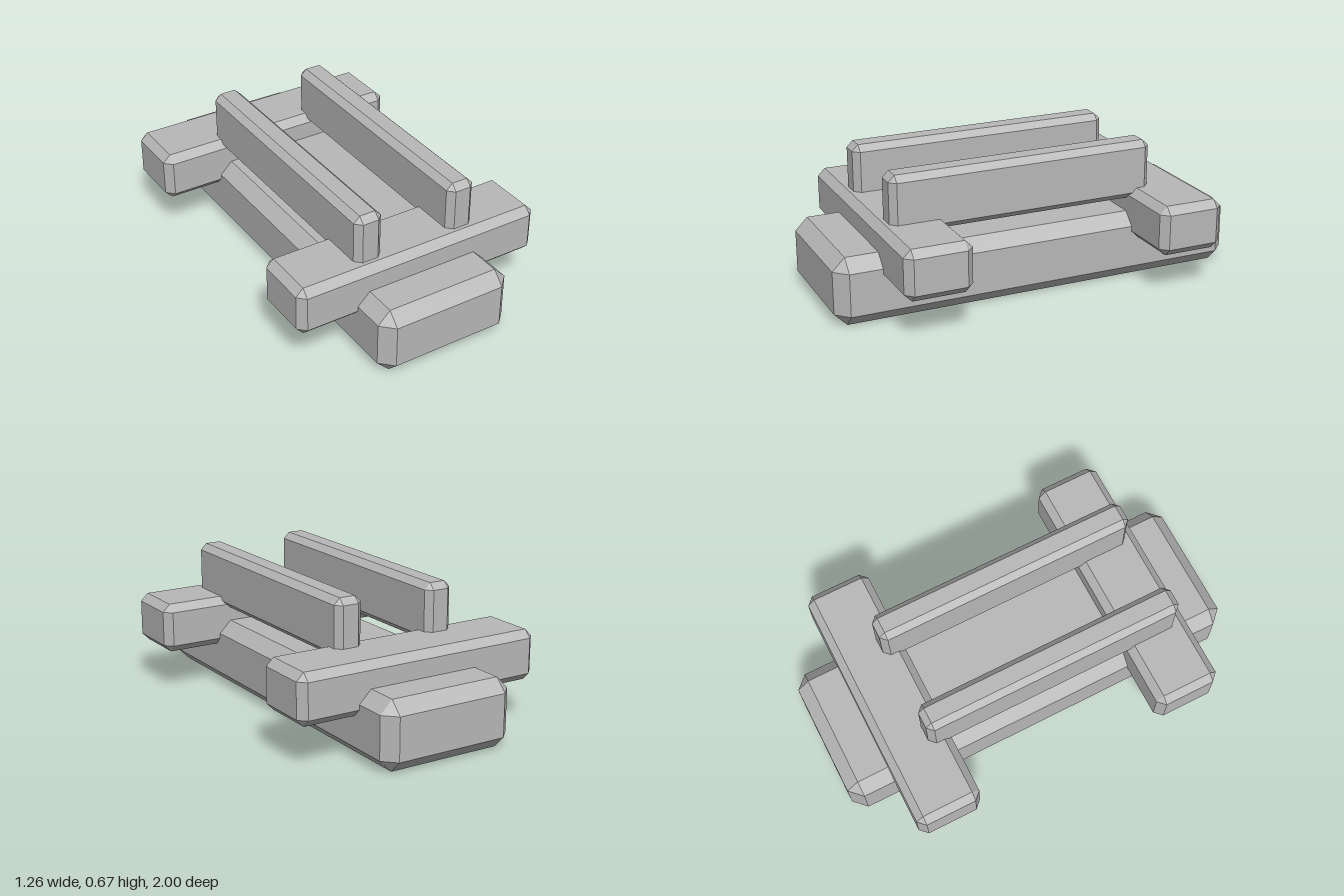
import * as THREE from 'three';
import { ConvexGeometry } from 'three/addons/geometries/ConvexGeometry.js';

// Box with every edge cut at 45 degrees and a triangle at each corner
function chamferedBox(w, h, d, c) {
  const [x, y, z] = [w / 2, h / 2, d / 2];
  const points = [];
  for (const sx of [-1, 1]) for (const sy of [-1, 1]) for (const sz of [-1, 1]) {
    points.push(
      new THREE.Vector3(sx * x, sy * (y - c), sz * (z - c)),
      new THREE.Vector3(sx * (x - c), sy * y, sz * (z - c)),
      new THREE.Vector3(sx * (x - c), sy * (y - c), sz * z)
    );
  }
  return new ConvexGeometry(points);
}

export function createModel() {
  const model = new THREE.Group();
  model.name = 'beamStack';
  const grey = new THREE.MeshStandardMaterial({ color: 0xb8b8b8, flatShading: true });
  grey.name = 'grey';

  const add = (name, geometry, x, y, z) => {
    const mesh = new THREE.Mesh(geometry, grey);
    mesh.name = name;
    mesh.position.set(x, y, z);
    model.add(mesh);
  };

  // Long base block on the ground
  add('base', chamferedBox(0.676, 0.324, 2, 0.06), 0, 0.162, 0);

  // Two cross beams set into the top of the base
  const beam = chamferedBox(1.256, 0.24, 0.32, 0.036);
  add('frontCrossBeam', beam, 0, 0.324, 0.624);
  add('backCrossBeam', beam, 0, 0.324, -0.624);

  // Two upright rails resting on the beams, slightly forward of centre
  const rail = chamferedBox(0.138, 0.278, 1.3, 0.03);
  add('leftRail', rail, 0.242, 0.531, 0.08);
  add('rightRail', rail, -0.242, 0.531, 0.08);

  return model;
}
